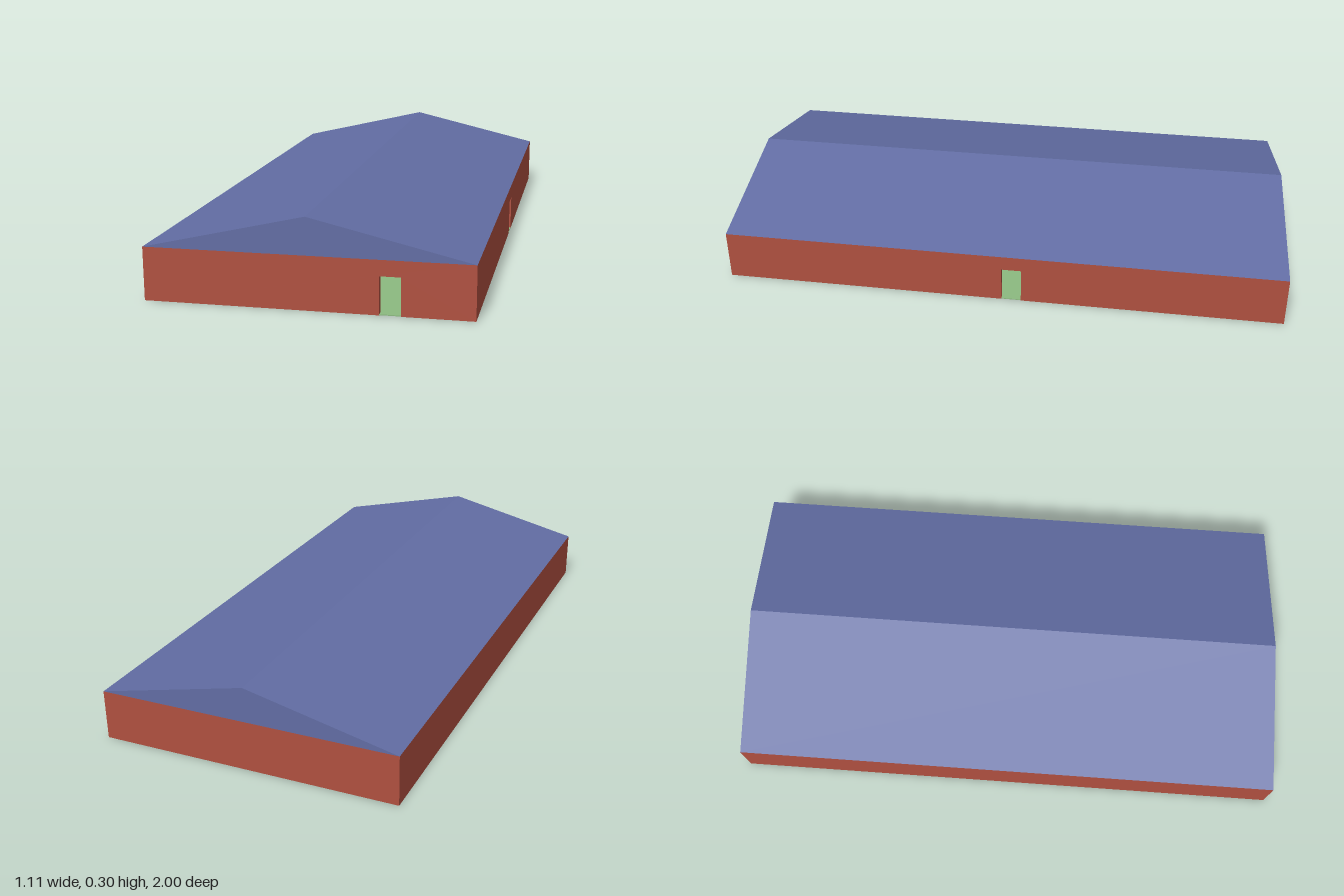
import * as THREE from 'three';

const HALF_W = 0.5265, HALF_L = 1, WALL_H = 0.177, RIDGE = 0.3;
const DOOR_H = 0.125, T = 0.022, SHEAR = 0.0265;

const brick = new THREE.MeshStandardMaterial({ color: 0xb05040, flatShading: true });
const slate = new THREE.MeshStandardMaterial({ color: 0x626da4, flatShading: true });
const green = new THREE.MeshStandardMaterial({ color: 0x8cba80, flatShading: true });

// The plan is a slight parallelogram: slide x along with z
function skewed(name, geometry, material) {
  geometry.applyMatrix4(new THREE.Matrix4().makeShear(0, 0, 0, 0, -SHEAR, 0));
  geometry.computeVertexNormals();
  const mesh = new THREE.Mesh(geometry, material);
  mesh.name = name;
  return mesh;
}

// Wall from a to b with doorways [start, end] notched up from the ground
function wallGeometry(a, b, doors) {
  const s = new THREE.Shape();
  s.moveTo(a, 0);
  for (const [d, e] of doors) {
    s.lineTo(d, 0);
    s.lineTo(d, DOOR_H);
    s.lineTo(e, DOOR_H);
    s.lineTo(e, 0);
  }
  s.lineTo(b, 0);
  s.lineTo(b, WALL_H);
  s.lineTo(a, WALL_H);
  s.closePath();
  return new THREE.ExtrudeGeometry(s, { depth: T, bevelEnabled: false }).translate(0, 0, -T / 2);
}

const crossWall = (name, z, a, b, doors = []) =>
  skewed(name, wallGeometry(a, b, doors).translate(0, 0, z), brick);

const longWall = (name, x, a, b, doors = []) =>
  skewed(name, wallGeometry(a, b, doors).rotateY(-Math.PI / 2).translate(x, 0, 0), brick);

export function createModel() {
  const house = new THREE.Group();
  house.name = 'house';
  const inX = HALF_W - T, inZ = HALF_L - T;
  const leftDoor = [0.23, 0.297], rightDoor = [-0.297, -0.23];

  // Outer walls
  house.add(
    crossWall('frontWall', HALF_L - T / 2, -HALF_W, HALF_W, [leftDoor]),
    crossWall('backWall', -HALF_L + T / 2, -HALF_W, HALF_W),
    longWall('leftWall', HALF_W - T / 2, -inZ, inZ, [[-0.08, -0.01]]),
    longWall('rightWall', -HALF_W + T / 2, -inZ, inZ)
  );

  // Partitions between the rooms
  const backZ = -0.37, frontZ = 0.27;
  house.add(
    crossWall('backPartition', backZ, -inX, inX, [rightDoor, leftDoor]),
    crossWall('frontPartition', frontZ, -inX, inX, [rightDoor]),
    longWall('backRoomDivider', 0, -inZ, backZ - T / 2, [[-0.71, -0.643]]),
    longWall('frontRoomDivider', 0, frontZ + T / 2, inZ, [[0.612, 0.679]])
  );

  // Floor slabs, one per room, set just above the foot of the walls
  const rooms = [
    [-inX, -T / 2, -inZ, backZ - T / 2], [T / 2, inX, -inZ, backZ - T / 2],
    [-inX, inX, backZ + T / 2, frontZ - T / 2],
    [-inX, -T / 2, frontZ + T / 2, inZ], [T / 2, inX, frontZ + T / 2, inZ],
    // doorway sills
    [...leftDoor, inZ, HALF_L], [inX, HALF_W, -0.08, -0.01],
    [...leftDoor, backZ - T / 2, backZ + T / 2],
    [...rightDoor, backZ - T / 2, backZ + T / 2],
    [...rightDoor, frontZ - T / 2, frontZ + T / 2],
    [-T / 2, T / 2, -0.71, -0.643], [-T / 2, T / 2, 0.612, 0.679]
  ];
  const floor = new THREE.Group();
  floor.name = 'floor';
  for (const [x0, x1, z0, z1] of rooms) {
    const slab = new THREE.BoxGeometry(x1 - x0, 0.003, z1 - z0)
      .translate((x0 + x1) / 2, 0.0025, (z0 + z1) / 2);
    floor.add(skewed('floorSlab', slab, green));
  }
  house.add(floor);

  // Gabled roof
  const gable = new THREE.Shape([
    new THREE.Vector2(-HALF_W, WALL_H),
    new THREE.Vector2(HALF_W, WALL_H),
    new THREE.Vector2(0, RIDGE)
  ]);
  const roof = new THREE.ExtrudeGeometry(gable, { depth: 2 * HALF_L, bevelEnabled: false })
    .translate(0, 0, -HALF_L);
  house.add(skewed('roof', roof, slate));
  return house;
}
